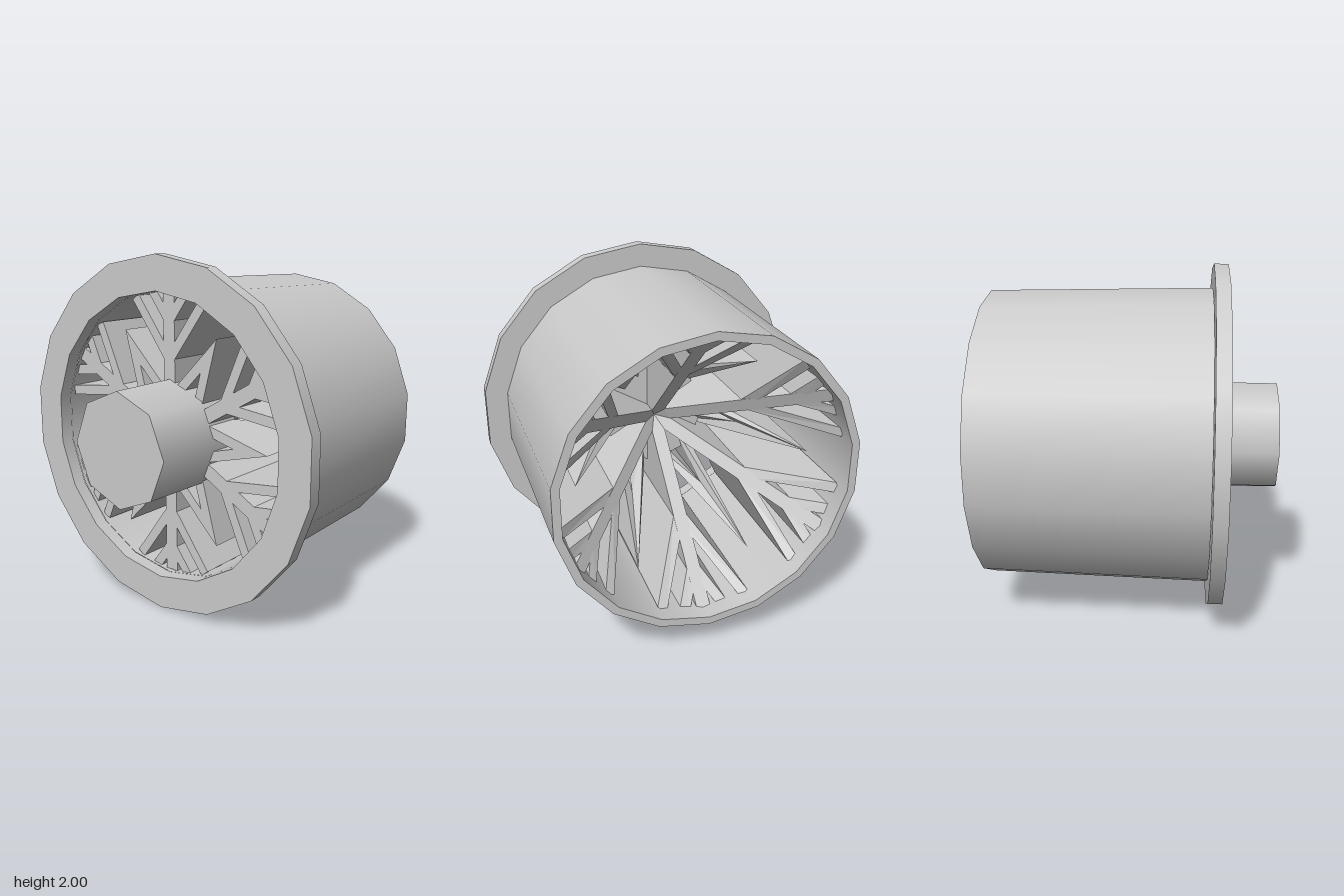
import * as THREE from 'three';
import { mergeGeometries } from 'three/addons/utils/BufferGeometryUtils.js';

const gray = new THREE.MeshStandardMaterial({ color: 0xcacaca });
gray.name = 'plain gray';

// Ring or disc about the x axis from a [radius, x] profile; sharp between profile segments, smooth around
function turned(name, profile, sides) {
  const bands = [];
  for (let i = 0; i < profile.length - 1; i++) {
    const pts = [profile[i], profile[i + 1]].map(([r, x]) => new THREE.Vector2(r, x));
    bands.push(new THREE.LatheGeometry(pts, sides, Math.PI / 2));
  }
  const mesh = new THREE.Mesh(mergeGeometries(bands).rotateZ(-Math.PI / 2), gray);
  mesh.name = name;
  return mesh;
}

// Flat outline extruded along x: flat at the back, hollowed to a cone at the front
const BACK = -0.42;
function coned(name, shapes, apex, slope) {
  const geo = new THREE.ExtrudeGeometry(shapes, { depth: 1, bevelEnabled: false });
  geo.rotateY(Math.PI / 2);
  const p = geo.attributes.position;
  for (let i = 0; i < p.count; i++) {
    const front = Math.max(BACK + 0.01, apex + slope * Math.hypot(p.getY(i), p.getZ(i)));
    p.setX(i, p.getX(i) > 0.5 ? front : BACK);
  }
  geo.computeVertexNormals();
  const mesh = new THREE.Mesh(geo, gray);
  mesh.name = name;
  return mesh;
}

const shapeOf = pts => new THREE.Shape(pts.map(([a, b]) => new THREE.Vector2(a, b)));

// Turn a list of points about the centre
const spin = (pts, t) => pts.map(([a, b]) => [
  a * Math.cos(t) - b * Math.sin(t), a * Math.sin(t) + b * Math.cos(t)]);

// Six-pointed star outline
function starPoints(tip, valley) {
  const pts = [];
  for (let i = 0; i < 12; i++) {
    const r = i % 2 ? valley : tip, t = i * Math.PI / 6;
    pts.push([r * Math.cos(t), r * Math.sin(t)]);
  }
  return pts;
}

export function createModel() {
  const group = new THREE.Group();
  const body = new THREE.Group();
  body.name = 'body';
  body.position.y = 1;
  group.add(body);

  // Tapered barrel with an open bore, and the flange at its back
  body.add(turned('barrel', [[0.867, -0.44], [0.843, 0.822], [0.797, 0.822], [0.808, -0.44]], 18));
  body.add(turned('flange', [[0.808, -0.522], [1, -0.522], [1, -0.442], [0.808, -0.442], [0.808, -0.522]], 18));

  // Eight-sided hub sticking out of the back
  body.add(turned('hub', [[0, -0.825], [0.32, -0.825], [0.325, -0.2], [0, -0.2]], 8));

  // Six arms, each with two pairs of slanting branches
  const lean = THREE.MathUtils.degToRad(36.5), half = 0.028;
  const dx = Math.sin(lean), dy = Math.cos(lean);
  for (let i = 0; i < 6; i++) {
    const turn = i * Math.PI / 3;
    const arm = [[-0.04, 0.065], [0, 0], [0.04, 0.065], [0.04, 0.8], [-0.04, 0.8]];
    const shapes = [shapeOf(spin(arm, turn))];
    for (const [base, length] of [[0.43, 0.41], [0.64, 0.2]]) {
      for (const side of [-1, 1]) {
        const edge = (s, d) => [side * (dx * d + dy * half * s), base + dy * d - dx * half * s];
        const branch = [edge(1, 0.03), edge(1, length), edge(-1, length), edge(-1, 0.03)];
        shapes.push(shapeOf(spin(branch, turn)));
      }
    }
    body.add(coned('snowflakeArm', shapes, -0.19, 1.15));
  }

  // Hollow star set between the arms, sinking steeply into the hub
  const star = shapeOf(starPoints(0.66, 0.24));
  star.holes.push(new THREE.Path(starPoints(0.44, 0.16).map(([a, b]) => new THREE.Vector2(a, b))));
  body.add(coned('star', [star], -0.92, 2.25));

  return group;
}
